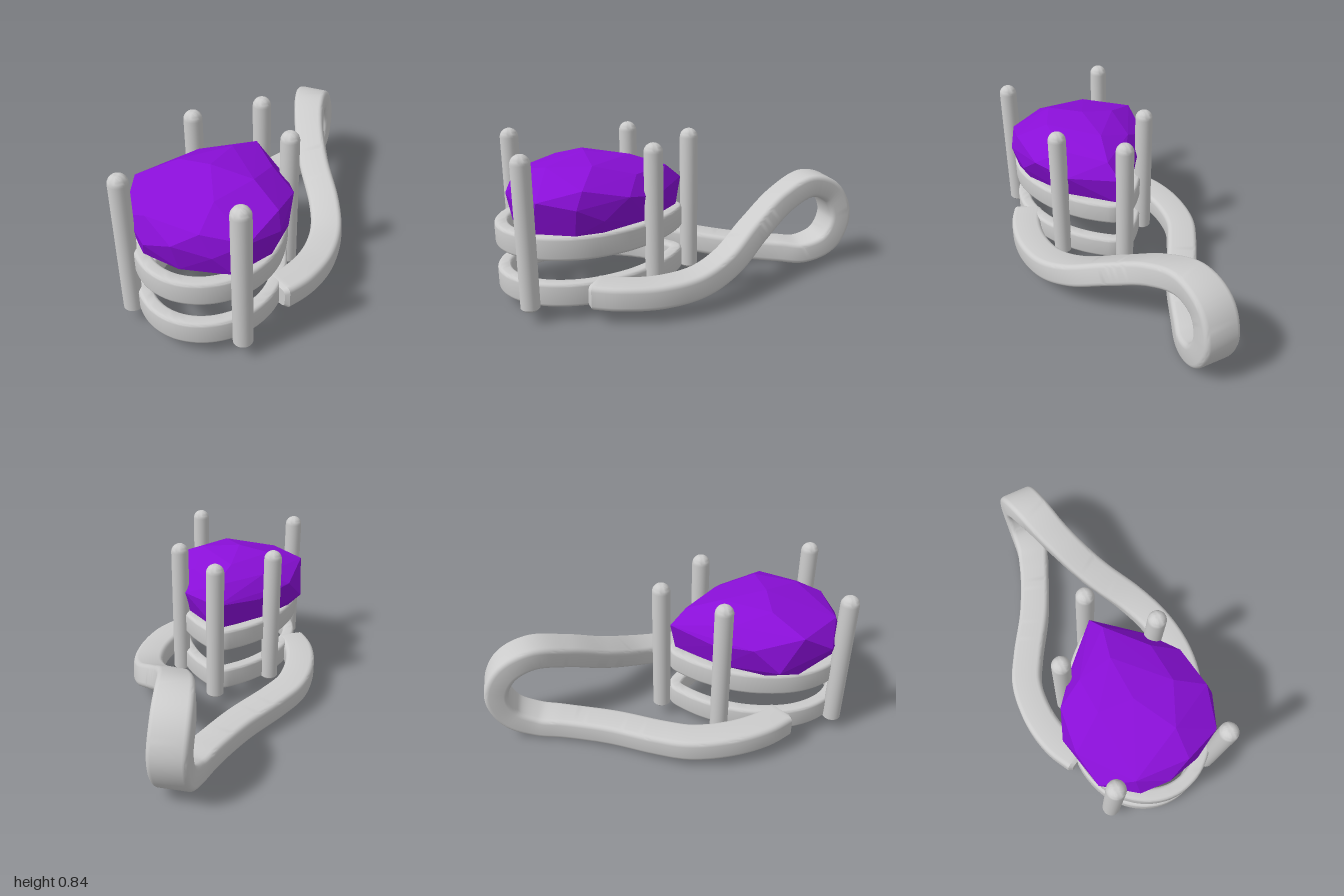
import * as THREE from 'three';
import { toCreasedNormals } from 'three/addons/utils/BufferGeometryUtils.js';
import { ConvexGeometry } from 'three/addons/geometries/ConvexGeometry.js';

const V = (x, y, z) => new THREE.Vector3(x, y, z);

// Unit-independent rounded rectangle, counter-clockwise
function roundedSection(w, h, r) {
  const pts = [];
  [[1, 1], [-1, 1], [-1, -1], [1, -1]].forEach(([sx, sy], q) => {
    for (let k = 0; k <= 4; k++) {
      const a = (q + k / 4) * Math.PI / 2;
      pts.push([sx * (w / 2 - r) + r * Math.cos(a), sy * (h / 2 - r) + r * Math.sin(a)]);
    }
  });
  return pts;
}

// Sweeps a rounded bar along a path. Closed paths lie flat; open ones keep their width near the x axis.
function sweepBar(points, closed, steps, width, height, r) {
  const curve = new THREE.CatmullRomCurve3(points, closed, 'centripetal');
  const pos = [], idx = [];
  const n = roundedSection(1, 1, 0.1).length;
  for (let i = 0; i <= steps; i++) {
    const u = i / steps;
    const p = curve.getPointAt(u), T = curve.getTangentAt(u);
    const W = closed ? V(0, 1, 0).cross(T).normalize()
      : V(1, 0, 0).addScaledVector(T, -T.x).normalize();
    const N = T.clone().cross(W);
    const end = !closed && (i === 0 || i === steps) ? 0.8 : 1;
    for (const [a, b] of roundedSection(width(p) * end, height * end, r)) {
      const q = p.clone().addScaledVector(W, a).addScaledVector(N, b);
      pos.push(q.x, q.y, q.z);
    }
  }
  for (let i = 0; i < steps; i++) {
    for (let j = 0; j < n; j++) {
      const a = i * n + j, b = i * n + (j + 1) % n;
      idx.push(a, b, b + n, a, b + n, a + n);
    }
  }
  if (!closed) {
    const e = steps * n;
    for (let j = 1; j < n - 1; j++) idx.push(0, j + 1, j, e, e + j, e + j + 1);
  }
  const g = new THREE.BufferGeometry();
  g.setAttribute('position', new THREE.Float32BufferAttribute(pos, 3));
  g.setIndex(idx);
  return toCreasedNormals(g, 0.6);
}

export function createModel() {
  const model = new THREE.Group();
  const metal = new THREE.MeshStandardMaterial({ color: 0xcccccc });
  const purple = new THREE.MeshStandardMaterial({ color: 0x8a0fd8, flatShading: true });
  const add = (name, geometry, material = metal) => {
    const m = new THREE.Mesh(geometry, material);
    m.name = name;
    model.add(m);
    return m;
  };

  // Two pear-shaped setting rings
  const half = [[0.08, 0.09], [0.19, 0.21], [0.285, 0.39], [0.32, 0.62], [0.262, 0.805], [0.14, 0.92]];
  const outline = [[0, 0.04], ...half, [0, 0.957], ...half.map(([x, z]) => [-x, z]).reverse()]
    .map(([x, z]) => V(x, 0, z));
  const ring = sweepBar(outline, true, 96, () => 0.07, 0.124, 0.018);
  add('lowerRing', ring).position.y = 0.13;
  add('upperRing', ring).position.y = 0.37;

  // Five round-topped prongs
  const R = 0.048;
  const profile = [new THREE.Vector2(0, 0.062), new THREE.Vector2(R - 0.012, 0.062), new THREE.Vector2(R, 0.074)];
  for (let k = 0; k <= 8; k++) {
    const a = k / 8 * Math.PI / 2;
    profile.push(new THREE.Vector2(k === 8 ? 0 : R * Math.cos(a), 0.792 + R * Math.sin(a)));
  }
  const prong = toCreasedNormals(new THREE.LatheGeometry(profile, 28), 0.6);
  [[0, -0.038], [0.262, 0.23], [-0.262, 0.23], [0.294, 0.867], [-0.294, 0.867]].forEach(([x, z], i) => {
    add('prong' + (i + 1), prong).position.set(x, 0, z);
  });

  // Bail: one ribbon rising from the left side, looping at the back and returning low on the right
  const path = [
    [0.335, 0.13, 0.57], [0.405, 0.13, 0.43], [0.437, 0.13, 0.25], [0.415, 0.147, 0.05],
    [0.34, 0.2, -0.13], [0.2, 0.31, -0.34], [0.09, 0.425, -0.55], [0.025, 0.48, -0.74],
    [0, 0.425, -0.875], [0, 0.28, -0.937], [0, 0.13, -0.875], [-0.02, 0.066, -0.74],
    [-0.07, 0.068, -0.6], [-0.19, 0.082, -0.34], [-0.34, 0.1, -0.1], [-0.415, 0.112, 0.05],
    [-0.437, 0.124, 0.25], [-0.405, 0.13, 0.43], [-0.335, 0.13, 0.57],
  ].map((p) => V(...p));
  const bailWidth = (p) => 0.165 + 0.03 * THREE.MathUtils.smoothstep(-p.z, 0.5, 0.9);
  add('bail', sweepBar(path, false, 160, bailWidth, 0.126, 0.026));

  // Irregular faceted pear-cut stone
  const gem = [
    // girdle
    [0, 0.58, 0.01], [0.23, 0.56, 0.2], [0.34, 0.6, 0.37], [0.365, 0.5, 0.5], [0.38, 0.57, 0.635],
    [0.3, 0.6, 0.81], [0.16, 0.53, 0.885], [-0.02, 0.57, 0.925], [-0.17, 0.52, 0.91],
    [-0.34, 0.56, 0.79], [-0.375, 0.665, 0.62], [-0.395, 0.48, 0.5], [-0.34, 0.6, 0.37], [-0.2, 0.56, 0.2],
    // crown
    [-0.02, 0.755, 0.52], [-0.2, 0.728, 0.5], [0.2, 0.73, 0.52], [-0.02, 0.72, 0.28], [0.03, 0.66, 0.1],
    [0.1, 0.715, 0.73], [-0.18, 0.645, 0.86], [0.355, 0.655, 0.6], [0.1, 0.64, 0.88], [-0.2, 0.67, 0.3],
    [0.2, 0.67, 0.3],
    // lower edge and underside
    [0.01, 0.43, 0.04], [0.21, 0.43, 0.24], [0.33, 0.43, 0.5], [0.34, 0.43, 0.64], [0.24, 0.43, 0.84],
    [0, 0.43, 0.9], [-0.2, 0.43, 0.87], [-0.35, 0.43, 0.62], [-0.33, 0.43, 0.45], [-0.2, 0.43, 0.24],
    [0.2, 0.36, 0.5], [-0.2, 0.36, 0.5], [0, 0.36, 0.78], [0, 0.36, 0.25], [0, 0.33, 0.52],
  ].map((p) => V(...p));
  add('gemstone', new ConvexGeometry(gem), purple);

  return model;
}
